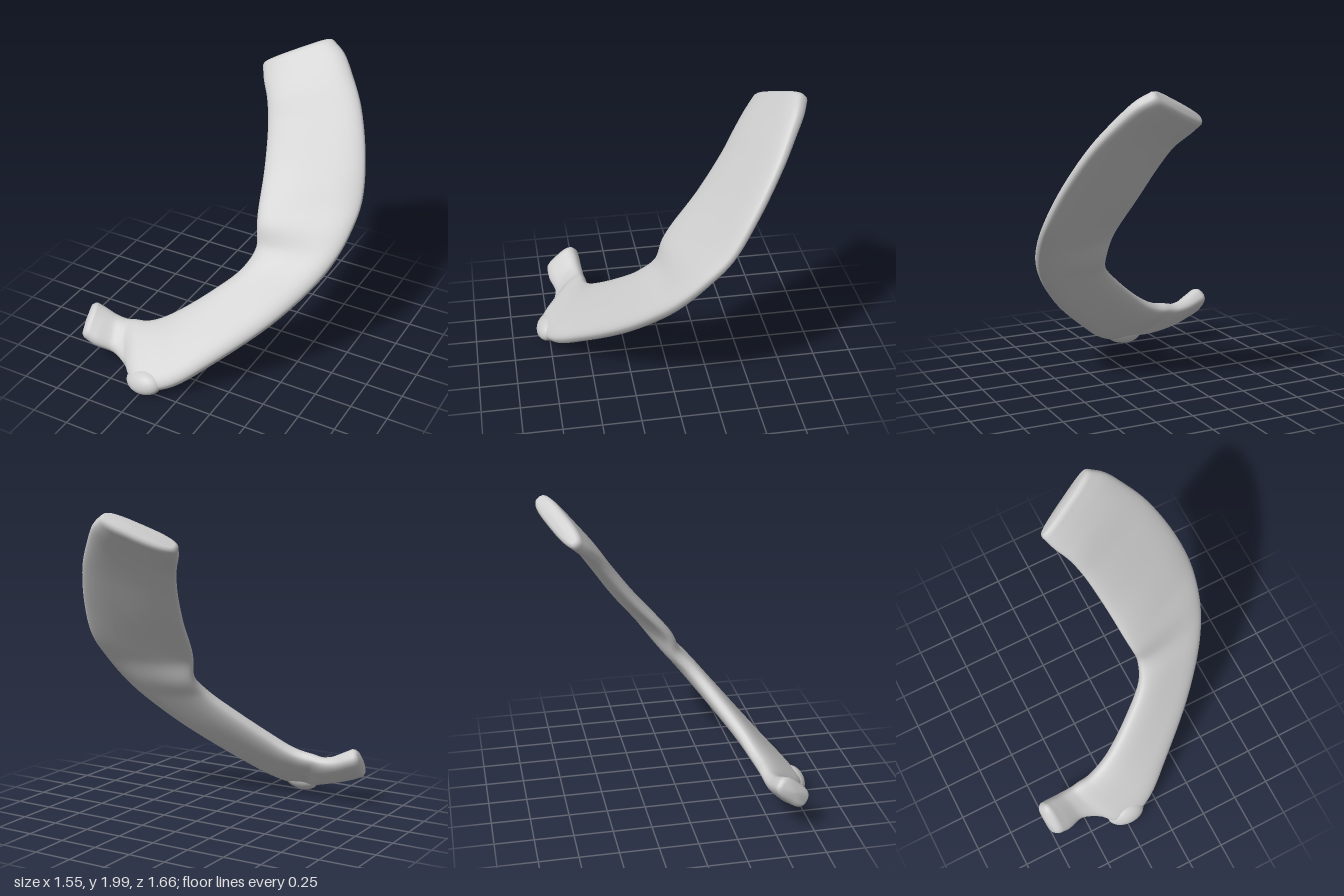
import * as THREE from 'three';

const V = (x, y, z) => new THREE.Vector3(x, y, z);

// Stations along the bone: inner edge xyz, outer edge xyz, half thickness
const STATIONS = [
  [-0.105, 1.78, -0.615, 0.31, 1.97, -0.805, 0.064],
  [-0.065, 1.715, -0.55, 0.395, 1.92, -0.77, 0.062],
  [0.0, 1.63, -0.47, 0.485, 1.82, -0.705, 0.056],
  [0.055, 1.50, -0.38, 0.60, 1.66, -0.605, 0.05],
  [0.12, 1.27, -0.21, 0.715, 1.40, -0.445, 0.048],
  [0.17, 1.06, -0.03, 0.77, 1.165, -0.295, 0.048],
  [0.19, 0.98, 0.02, 0.76, 1.0, -0.15, 0.052],
  [0.21, 0.86, 0.06, 0.72, 0.86, -0.025, 0.056],
  [0.17, 0.75, 0.16, 0.64, 0.715, 0.105, 0.06],
  [0.01, 0.59, 0.29, 0.45, 0.49, 0.32, 0.064],
  [-0.19, 0.43, 0.41, 0.165, 0.245, 0.57, 0.064],
  [-0.30, 0.36, 0.45, -0.03, 0.105, 0.725, 0.064],
  [-0.38, 0.33, 0.47, -0.16, 0.06, 0.78, 0.064],
  [-0.45, 0.32, 0.475, -0.285, 0.06, 0.785, 0.06],
  [-0.52, 0.31, 0.485, -0.39, 0.09, 0.70, 0.055],
  [-0.60, 0.32, 0.49, -0.53, 0.14, 0.655, 0.057],
  [-0.68, 0.35, 0.495, -0.65, 0.18, 0.69, 0.066],
  [-0.735, 0.375, 0.505, -0.715, 0.21, 0.695, 0.07],
];

function bladeGeometry() {
  const inner = new THREE.CatmullRomCurve3(STATIONS.map(s => V(s[0], s[1], s[2])));
  const outer = new THREE.CatmullRomCurve3(STATIONS.map(s => V(s[3], s[4], s[5])));
  const last = STATIONS.length - 1, steps = last * 5, sides = 36;
  const mid = t => inner.getPoint(t).add(outer.getPoint(t)).multiplyScalar(0.5);
  const pos = [], index = [];

  // One flattened oval ring, blunter on the outer rim; scale and push round off the ends
  const ring = (t, scale, push) => {
    const c = mid(t);
    const half = outer.getPoint(t).sub(inner.getPoint(t)).multiplyScalar(0.5);
    const along = mid(Math.min(1, t + 0.02)).sub(mid(Math.max(0, t - 0.02))).normalize();
    const normal = along.clone().cross(half).normalize();
    const k = t * last, i = Math.min(last - 1, Math.floor(k));
    const thick = THREE.MathUtils.lerp(STATIONS[i][6], STATIONS[i + 1][6], k - i);
    const axis = half.clone().cross(normal).normalize();
    half.setLength(scale === 0 ? 0 : half.length() - thick * (1 - scale));
    for (let j = 0; j < sides; j++) {
      const a = j / sides * Math.PI * 2, co = Math.cos(a), si = Math.sin(a);
      const p = c.clone()
        .addScaledVector(half, Math.sign(co) * Math.abs(co) ** (co > 0 ? 0.55 : 0.75))
        .addScaledVector(normal, thick * scale * Math.sign(si) * Math.abs(si) ** 0.7)
        .addScaledVector(axis, push);
      pos.push(p.x, p.y, p.z);
    }
  };

  ring(0, 0, -0.025);
  ring(0, 0.6, -0.022);
  ring(0, 0.85, -0.014);
  for (let i = 0; i <= steps; i++) ring(i / steps, 1, 0);
  ring(1, 0.9, 0.018);
  ring(1, 0.65, 0.035);
  ring(1, 0, 0.042);

  const rings = pos.length / 3 / sides;
  for (let i = 0; i < rings - 1; i++) {
    for (let j = 0; j < sides; j++) {
      const a = i * sides + j, b = i * sides + (j + 1) % sides;
      index.push(a, b, a + sides, b, b + sides, a + sides);
    }
  }
  const g = new THREE.BufferGeometry();
  g.setAttribute('position', new THREE.Float32BufferAttribute(pos, 3));
  g.setIndex(index);
  g.computeVertexNormals();
  return g;
}

export function createModel() {
  const model = new THREE.Group();
  model.name = 'ribBone';
  const bone = new THREE.MeshStandardMaterial({ color: 0xcccccc });
  bone.name = 'bone grey';

  // Curved flat blade, running into the neck and head
  const blade = new THREE.Mesh(bladeGeometry(), bone);
  blade.name = 'blade';
  model.add(blade);

  // Low rounded knob at the outer bend
  const tubercle = new THREE.Mesh(new THREE.SphereGeometry(1, 32, 20), bone);
  tubercle.name = 'tubercle';
  tubercle.scale.set(0.13, 0.075, 0.09);
  tubercle.position.set(-0.235, 0.085, 0.75);
  tubercle.rotation.set(0.7, 0, 0.12);
  model.add(tubercle);

  return model;
}
